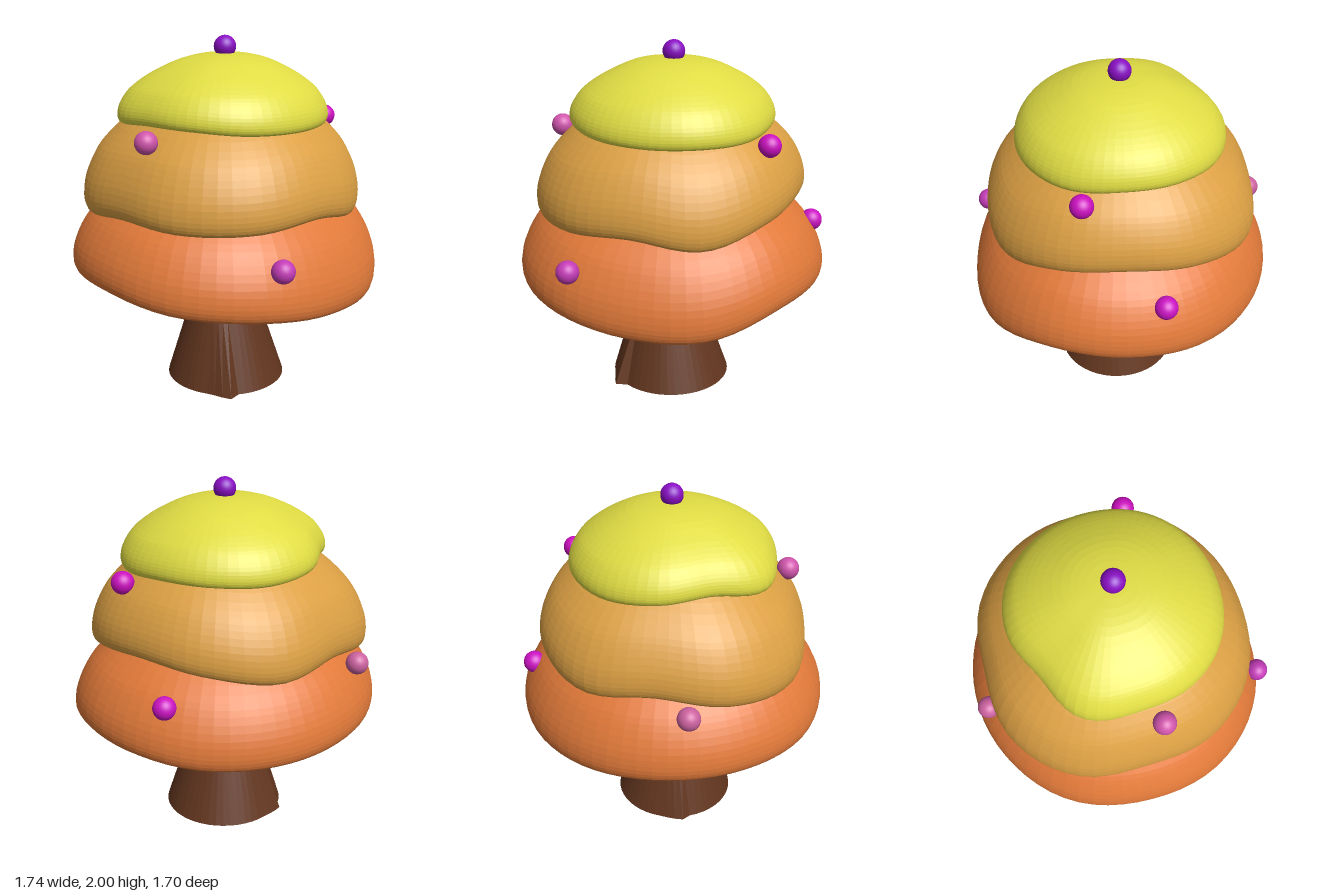
import * as THREE from 'three';

const TAU = Math.PI * 2;

// Surface from rings: fn(row, angle) gives [x, y, z]; rows run from top to bottom
function loft(rows, cols, fn) {
  const pos = [], idx = [];
  for (let i = 0; i < rows; i++) {
    for (let j = 0; j < cols; j++) pos.push(...fn(i, (j / cols) * TAU));
  }
  for (let i = 0; i < rows - 1; i++) {
    for (let j = 0; j < cols; j++) {
      const k = (j + 1) % cols;
      const a = i * cols + j, b = i * cols + k, c = a + cols, d = b + cols;
      idx.push(a, b, c, b, d, c);
    }
  }
  const g = new THREE.BufferGeometry();
  g.setAttribute('position', new THREE.Float32BufferAttribute(pos, 3));
  g.setIndex(idx);
  g.computeVertexNormals();
  return g;
}

// Smooth periodic interpolation of values spaced evenly round the circle
function around(values, angle) {
  const n = values.length, f = (angle / TAU) * n, i = Math.floor(f), t = f - i;
  const [a, b, c, d] = [-1, 0, 1, 2].map((o) => values[(i + o + n) % n]);
  return b + 0.5 * t * (c - a + t * (2 * a - 5 * b + 4 * c - d + t * (3 * (b - c) + d - a)));
}

function addMesh(group, name, geometry, color, flatShading = false) {
  const mesh = new THREE.Mesh(geometry, new THREE.MeshStandardMaterial({ color, flatShading }));
  mesh.name = name;
  group.add(mesh);
  return mesh;
}

// Shell section: outer dome, rounded lip, hollow inside (radius, height fractions)
const SECTION = new THREE.SplineCurve([
  [0, 1], [0.22, 0.98], [0.44, 0.9], [0.68, 0.72], [0.84, 0.55], [0.92, 0.42], [0.98, 0.26],
  [1, 0.12], [0.985, 0.03], [0.95, 0], [0.915, 0.03], [0.91, 0.14], [0.88, 0.28],
  [0.82, 0.42], [0.7, 0.56], [0.5, 0.72], [0.25, 0.8], [0, 0.83],
].map(([r, h]) => new THREE.Vector2(r, h))).getPoints(51);

// Radius and rim height every 30 degrees, from +x towards +z
const TIERS = [
  {
    name: 'lowerCanopy', color: 0xe27a3a, top: 1.35,
    radius: [0.865, 0.87, 0.87, 0.85, 0.88, 0.885, 0.87, 0.88, 0.86, 0.85, 0.85, 0.86],
    rim: [0.69, 0.69, 0.595, 0.595, 0.64, 0.67, 0.71, 0.7, 0.69, 0.68, 0.66, 0.66],
  },
  {
    name: 'middleCanopy', color: 0xdca044, top: 1.75,
    radius: [0.725, 0.745, 0.76, 0.745, 0.78, 0.78, 0.75, 0.8, 0.8, 0.74, 0.78, 0.76],
    rim: [1.17, 1.13, 1.05, 1.1, 1.075, 1.07, 1.08, 1.04, 1.07, 1.12, 1.09, 1.14],
  },
  {
    name: 'upperCanopy', color: 0xe0dc44, top: 1.905,
    radius: [0.56, 0.575, 0.575, 0.57, 0.58, 0.58, 0.57, 0.605, 0.53, 0.565, 0.58, 0.57],
    rim: [1.55, 1.53, 1.53, 1.53, 1.54, 1.56, 1.56, 1.54, 1.575, 1.56, 1.545, 1.55],
  },
];

// Trunk rings: height, radius, centre x, centre z
const TRUNK = [
  [1.3, 0, -0.02, -0.02], [1.2, 0.1, -0.02, -0.02], [0.95, 0.14, -0.02, -0.02],
  [0.65, 0.19, -0.025, -0.01], [0.42, 0.212, -0.025, 0.025], [0, 0.345, -0.012, 0.02],
  [0, 0, -0.012, 0.02],
];

// Bark flaps: start angle, spread, how far they stand off at the ground
const FLAPS = [[2.1, 0.45, 0.07], [4.4, 0.4, 0.03]];

function trunkPoint(i, a) {
  const [y, r, cx, cz] = TRUNK[i];
  let radius = r;
  if (r > 0 && y < 0.4) {
    for (const [start, spread, size] of FLAPS) {
      if (a >= start) radius += size * Math.max(0, 1 - (a - start) / spread);
    }
  }
  return [cx + radius * Math.cos(a), y, cz + radius * Math.sin(a)];
}

const BERRIES = [
  ['topBerry', 0, 1.938, 0, 0x8a0fc4],
  ['berry', 0.595, 1.512, 0.215, 0xcc10c0],
  ['berry', -0.635, 1.5, 0.1, 0xd055ac],
  ['berry', -0.32, 0.91, 0.785, 0xc43cb8],
  ['berry', 0.765, 0.975, -0.205, 0xcc14c4],
  ['berry', -0.18, 1.05, -0.77, 0xcc62a0],
];

export function createModel() {
  const model = new THREE.Group();
  model.name = 'tieredTree';

  addMesh(model, 'trunk', loft(TRUNK.length, 48, trunkPoint), 0x63361f, true);

  // Canopy shells with wavy rims
  for (const { name, color, top, radius, rim } of TIERS) {
    const shell = loft(SECTION.length, 64, (i, a) => {
      const { x, y } = SECTION[i];
      const r = Math.max(0, x) * around(radius, a);
      // the centre stays level while the waves grow towards the rim
      const low = around(rim, a);
      return [r * Math.cos(a), low + y * (top - low), r * Math.sin(a)];
    });
    addMesh(model, name, shell, color, true);
  }

  // Berries
  const ball = new THREE.SphereGeometry(0.062, 24, 16);
  for (const [name, x, y, z, color] of BERRIES) {
    addMesh(model, name, ball, color).position.set(x, y, z);
  }
  return model;
}
